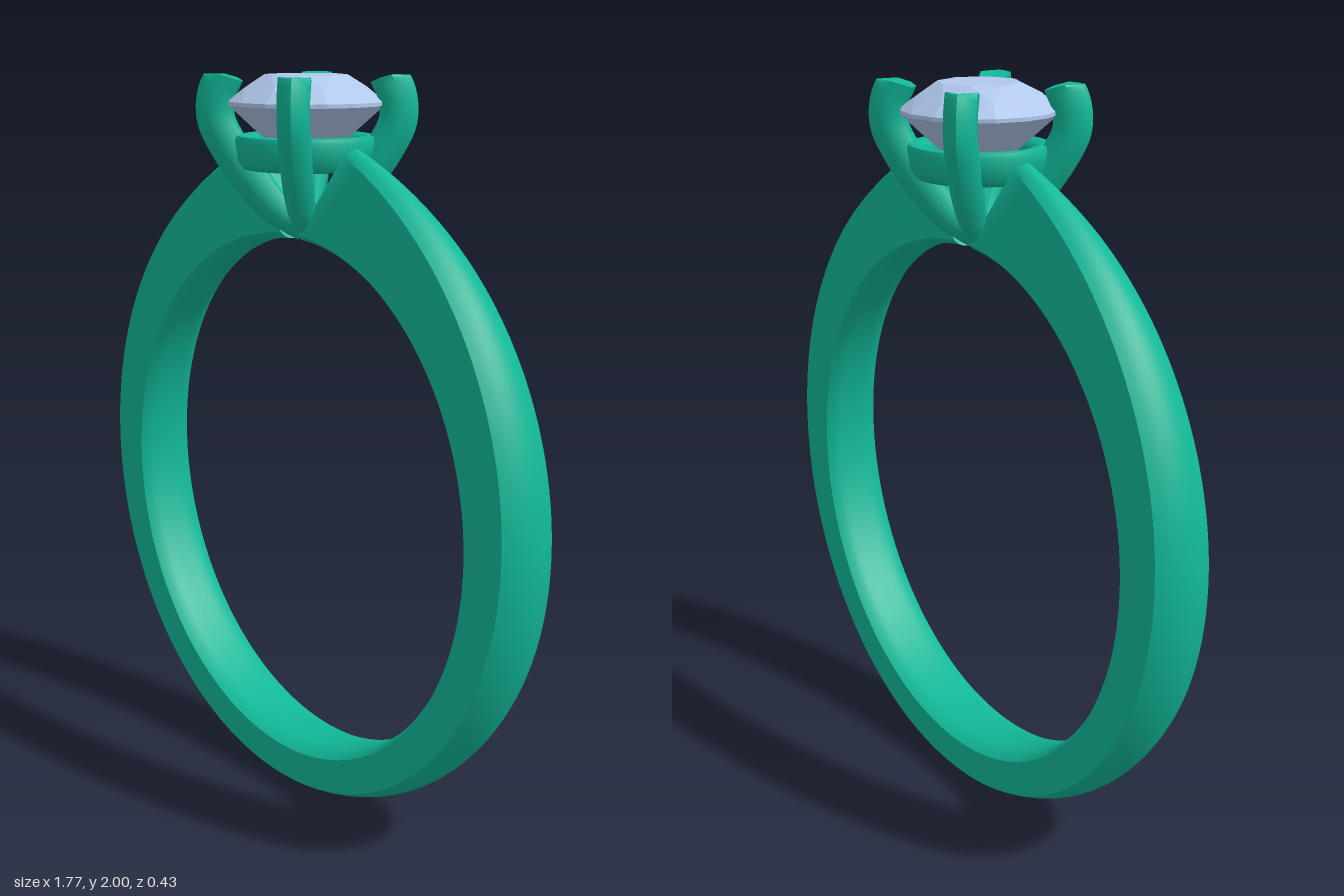
import * as THREE from 'three';
import { toCreasedNormals } from 'three/addons/utils/BufferGeometryUtils.js';
import { ConvexGeometry } from 'three/addons/geometries/ConvexGeometry.js';

const metal = new THREE.MeshStandardMaterial({ color: 0x11b898 });
const stone = new THREE.MeshStandardMaterial({ color: 0xb0c8ec });

// Skin a list of equal-sized cross-sections and cap both ends
function loft(rings, crease) {
  const n = rings[0].length, last = (rings.length - 1) * n, index = [];
  for (let i = 0; i < rings.length - 1; i++) {
    for (let j = 0; j < n; j++) {
      const a = i * n + j, b = i * n + (j + 1) % n;
      index.push(a, b, a + n, b, b + n, a + n);
    }
  }
  for (let j = 1; j < n - 1; j++) {
    index.push(0, j + 1, j, last, last + j, last + j + 1);
  }
  const geo = new THREE.BufferGeometry();
  geo.setAttribute('position', new THREE.Float32BufferAttribute(rings.flat(2), 3));
  geo.setIndex(index);
  return toCreasedNormals(geo, crease);
}

function addMesh(parent, name, geo, material) {
  const mesh = new THREE.Mesh(geo, material);
  mesh.name = name;
  parent.add(mesh);
  return mesh;
}

// Open hoop: grows taller and narrower from the bottom to the two shoulders
function bandGeometry() {
  const inner = 0.715, centreY = 0.855, steps = 160, across = 10, rings = [];
  for (let i = 0; i <= steps; i++) {
    const u = (i / steps) * 2 - 1;
    const t = Math.abs(u) * 0.932;
    const outer = 0.855 + 0.12 * t ** 2 + 0.05 * t ** 8;
    const outerHalf = 0.095 - 0.04 * t ** 2 - 0.055 * t ** 8;
    const innerHalf = 0.095 - 0.045 * t ** 2;
    const ring = [];
    const put = (r, w) => {
      // the shoulder ends lean outwards to follow the prongs
      const f = (r - inner) / (outer - inner);
      const angle = u * (Math.PI - THREE.MathUtils.lerp(0.04, 0.215, f));
      ring.push([r * Math.sin(angle), centreY - r * Math.cos(angle), -w]);
    };
    for (let k = 0; k <= across; k++) {
      const g = (k / across) * 2 - 1;
      put(outer - (0.03 - 0.01 * t) * g * g, g * outerHalf);
    }
    for (let k = 0; k <= across; k++) {
      const g = 1 - (k / across) * 2;
      put(inner + 0.018 * g ** 4, g * innerHalf);
    }
    rings.push(ring);
  }
  return loft(rings, 0.6);
}

// Claw curving out from the base and in over the stone, with a flat top
function prongGeometry() {
  const path = new THREE.CatmullRomCurve3([
    [0, 1.6], [0.08, 1.652], [0.15, 1.735], [0.205, 1.815],
    [0.238, 1.885], [0.236, 1.945], [0.212, 2.0],
  ].map(([p, y]) => new THREE.Vector3(p, y, 0)));
  // outward and sideways offsets: ridge outside, flat inside
  const section = [[0.055, 0], [0.045, 0.018], [0.015, 0.041], [-0.025, 0.038], [-0.045, 0.02],
    [-0.045, -0.02], [-0.025, -0.038], [0.015, -0.041], [0.045, -0.018]];
  const rings = [], steps = 28;
  for (let i = 0; i <= steps; i++) {
    const s = i / steps, c = path.getPoint(s), d = path.getTangent(s);
    const size = Math.min(1, 0.72 + 0.9 * s);
    rings.push(section.map(([o, w]) => [
      c.x + d.y * o * size,
      Math.min(2, c.y - d.x * o * size),
      -w * size,
    ]));
  }
  return loft(rings, 0.75);
}

// Round brilliant: table, crown, girdle, pavilion and point
function stoneGeometry() {
  const points = [new THREE.Vector3(0, 1.737, 0)];
  const addRing = (count, r, y, turn = 0) => {
    for (let i = 0; i < count; i++) {
      const a = ((i + turn) / count) * Math.PI * 2;
      points.push(new THREE.Vector3(r * Math.cos(a), y, r * Math.sin(a)));
    }
  };
  addRing(8, 0.11, 2.0);
  addRing(8, 0.165, 1.968, 0.5);
  addRing(16, 0.207, 1.932);
  addRing(16, 0.207, 1.922);
  addRing(8, 0.1, 1.824, 0.5);
  return new ConvexGeometry(points);
}

export function createModel() {
  const ring = new THREE.Group();
  ring.name = 'ring';
  addMesh(ring, 'band', bandGeometry(), metal);

  const setting = new THREE.Group();
  setting.name = 'setting';
  ring.add(setting);

  // Four prongs on the diagonals
  const prong = prongGeometry();
  for (let i = 0; i < 4; i++) {
    addMesh(setting, 'prong', prong, metal).rotation.y = Math.PI / 4 + (i * Math.PI) / 2;
  }

  // Collar under the stone, with softened edges
  const profile = [[0.135, 1.765], [0.145, 1.755], [0.165, 1.757], [0.18, 1.775], [0.188, 1.83],
    [0.183, 1.843], [0.17, 1.846], [0.145, 1.84], [0.135, 1.825], [0.135, 1.765]]
    .map(([r, y]) => new THREE.Vector2(r, y));
  addMesh(setting, 'collar', toCreasedNormals(new THREE.LatheGeometry(profile, 64), 0.9), metal);

  addMesh(ring, 'gemstone', stoneGeometry(), stone);
  return ring;
}
